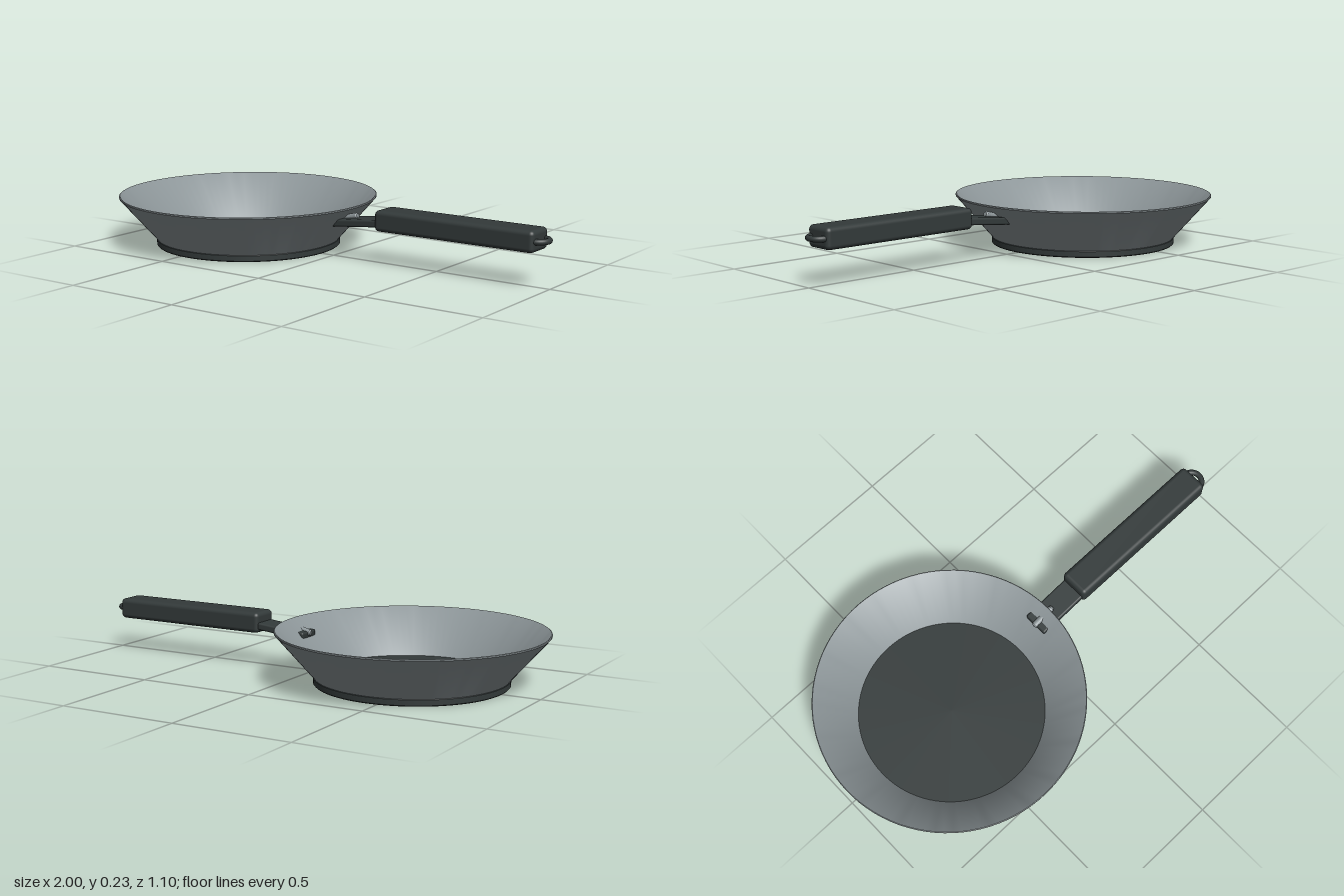
import * as THREE from 'three';
import { RoundedBoxGeometry } from 'three/addons/geometries/RoundedBoxGeometry.js';
import { toCreasedNormals } from 'three/addons/utils/BufferGeometryUtils.js';

const PAN_X = -0.45;

export function createModel() {
  const pan = new THREE.Group();
  pan.name = 'fryingPan';
  const steel = new THREE.MeshStandardMaterial({ color: 0x8c9598 });
  steel.name = 'brushed steel';
  const dark = new THREE.MeshStandardMaterial({ color: 0x333a3a });
  dark.name = 'dark coating';

  const add = (name, geometry, material, x = 0, y = 0, z = 0) => {
    const mesh = new THREE.Mesh(geometry, material);
    mesh.name = name;
    mesh.position.set(x, y, z);
    pan.add(mesh);
    return mesh;
  };
  const lathe = (points, segments = 96) => toCreasedNormals(
    new THREE.LatheGeometry(points.map(([r, y]) => new THREE.Vector2(r, y)), segments), 0.5);

  // Flared wall with a thin rim: outside going up, inside coming down
  add('wall', lathe([
    [0.389, 0.024], [0.392, 0.028], [0.55, 0.208], [0.55, 0.213],
    [0.547, 0.215], [0.543, 0.213], [0.382, 0.028],
  ]), steel, PAN_X);

  // Base disc, whose top is the cooking surface
  add('base', lathe([
    [0, 0], [0.39, 0], [0.394, 0.004], [0.394, 0.026], [0.39, 0.03], [0, 0.03],
  ]), dark, PAN_X);

  // Flat neck, sloping up from the wall into the grip
  const neck = add('neck', new RoundedBoxGeometry(0.25, 0.03, 0.106, 3, 0.008), dark, 0.15, 0.16);
  neck.rotation.z = 0.1;

  // Rivet through the wall and neck, with a domed head at each end
  const rivet = add('rivet', lathe([
    [0, -0.056], [0.009, -0.054], [0.013, -0.048],
    [0.013, 0.048], [0.009, 0.054], [0, 0.056],
  ], 20), steel, 0.07, 0.168);
  rivet.rotation.z = -Math.PI / 2 + 0.25;

  // Grip
  add('grip', new RoundedBoxGeometry(0.715, 0.086, 0.126, 4, 0.018), dark, 0.5985, 0.183);

  // Hanging loop at the end of the grip
  const loop = add('hangingLoop', new THREE.TorusGeometry(0.042, 0.012, 12, 40), dark, 0.946, 0.183);
  loop.rotation.x = Math.PI / 2;

  return pan;
}
